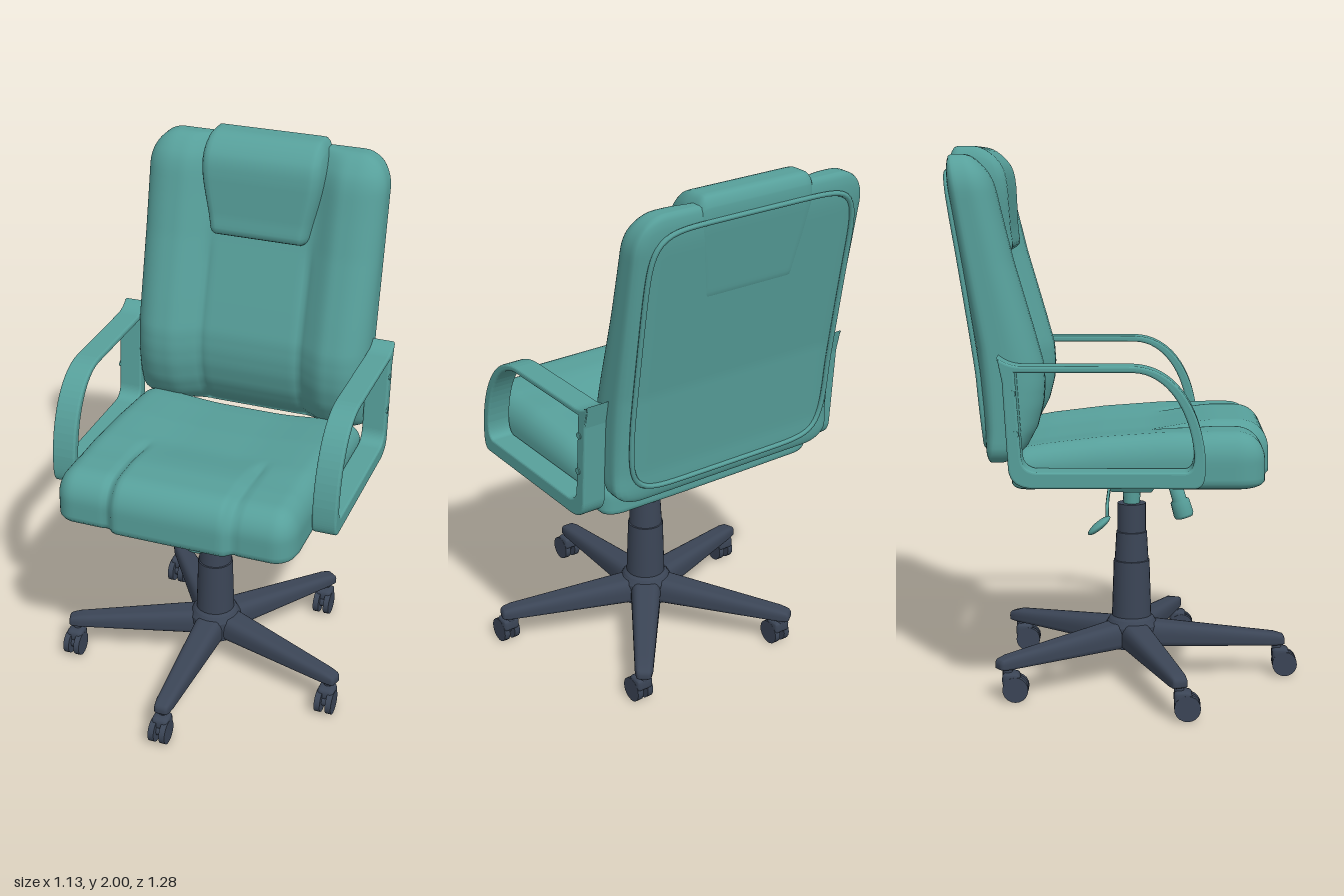
import * as THREE from 'three';
import { mergeVertices } from 'three/addons/utils/BufferGeometryUtils.js';

const { smoothstep, lerp } = THREE.MathUtils;
const upholstery = new THREE.MeshStandardMaterial({ color: 0x57a09b });
upholstery.name = 'tealUpholstery';
const plastic = new THREE.MeshStandardMaterial({ color: 0x3b4556 });
plastic.name = 'darkPlastic';

// Piecewise-linear lookup through [t, value] pairs
function curve(pairs) {
  return (t) => {
    if (t <= pairs[0][0]) return pairs[0][1];
    for (let i = 1; i < pairs.length; i++) {
      const [a, va] = pairs[i - 1], [b, vb] = pairs[i];
      if (t <= b) return lerp(va, vb, (t - a) / (b - a));
    }
    return pairs[pairs.length - 1][1];
  };
}

// Box with its own rounding radius on every side, then bent by a rule
function softBox(lo, hi, rLo, rHi, segs, warp) {
  const geo = new THREE.BoxGeometry(1, 1, 1, ...segs);
  geo.deleteAttribute('uv');
  geo.deleteAttribute('normal');
  const pos = geo.attributes.position;
  const v = new THREE.Vector3();
  for (let i = 0; i < pos.count; i++) {
    v.fromBufferAttribute(pos, i);
    const inner = [], dir = [], rad = [];
    v.toArray().forEach((c, k) => {
      const p = lerp(lo[k], hi[k], c + 0.5);
      inner[k] = Math.min(Math.max(p, lo[k] + rLo[k]), hi[k] - rHi[k]);
      rad[k] = p < inner[k] ? rLo[k] : rHi[k];
      dir[k] = (p - inner[k]) / rad[k];
    });
    const len = Math.hypot(...dir) || 1;
    v.fromArray(inner.map((c, k) => c + (dir[k] / len) * rad[k]));
    if (warp) warp(v);
    pos.setXYZ(i, v.x, v.y, v.z);
  }
  const out = mergeVertices(geo, 1e-5);
  out.computeVertexNormals();
  return out;
}

function add(parent, name, geo, mat, x = 0, y = 0, z = 0) {
  const mesh = new THREE.Mesh(geo, mat);
  mesh.name = name;
  mesh.position.set(x, y, z);
  parent.add(mesh);
  return mesh;
}

const dent = (d, w) => Math.exp(-(d * d) / (w * w));

// Side profiles of the seat and backrest
const seatTop = curve([[-0.41, 0.94], [-0.3, 0.96], [-0.1, 0.985], [0.1, 1.0], [0.3, 1.02], [0.5, 1.02]]);
const backRear = curve([[0.89, -0.5], [1.0, -0.502], [1.3, -0.53], [1.6, -0.58], [1.97, -0.642]]);
const backFront = curve([[0.89, -0.4], [0.95, -0.355], [1.02, -0.318], [1.1, -0.297], [1.17, -0.292], [1.24, -0.297],
  [1.36, -0.33], [1.6, -0.4], [1.75, -0.437], [1.9, -0.472], [1.97, -0.5]]);
const headFront = curve([[1.61, -0.41], [1.7, -0.422], [1.85, -0.43], [1.93, -0.44], [2, -0.46]]);

function buildSeat(g) {
  const geo = softBox([-0.46, 0.8, -0.41], [0.46, 1, 0.485], [0.08, 0.03, 0.05], [0.08, 0.1, 0.1], [60, 14, 50], (v) => {
    const ax = Math.abs(v.x), t = (v.y - 0.8) / 0.2, z = v.z;
    const panel = 1 - smoothstep(ax, 0.215, 0.25);
    const groove = dent(ax - 0.23, 0.016) * smoothstep(z, 0.08, 0.2);
    v.y = 0.8 + t * (seatTop(z) - 0.8);
    v.y -= t * (0.02 * (1 - smoothstep(ax, 0.1, 0.4)) * (1 - smoothstep(z, 0.05, 0.3)) + 0.018 * groove);
    v.y -= t * 0.015 * (1 - panel) * smoothstep(z, 0.1, 0.3);
    v.z += smoothstep(z, 0.2, 0.45) * (0.024 * panel - 0.014 * groove);
  });
  add(g, 'seatCushion', geo, upholstery);
}

function buildBackrest(g) {
  const geo = softBox([-0.47, 0.89, 0], [0.47, 1.97, 1], [0.11, 0.06, 0.2], [0.11, 0.13, 0.5], [60, 50, 14], (v) => {
    const ax = Math.abs(v.x), s = v.z;
    const recess = 0.055 * (1 - smoothstep(ax, 0.19, 0.32));
    const seam = 0.01 * dent(ax - 0.2037, 0.014) * (1 - smoothstep(v.y, 1.5, 1.65));
    v.z = lerp(backRear(v.y), backFront(v.y), s) - (recess + seam) * smoothstep(s, 0.3, 1);
  });
  add(g, 'backrestCushion', geo, upholstery);

  // Headrest pad wrapped over the top edge
  const head = softBox([-1, 1.61, 0], [1, 2, 1], [0.16, 0.04, 0.2], [0.16, 0.12, 0.5], [30, 26, 14], (v) => {
    const s = v.z;
    v.x *= lerp(0.195, 0.243, smoothstep(v.y, 1.58, 1.9));
    v.z = lerp(backRear(v.y) - 0.002, headFront(v.y), s);
  });
  add(g, 'headrest', head, upholstery);

  // Piping around the rear panel
  const pts = [];
  const bend = (c) => Math.sign(c) * Math.abs(c) ** 0.25;
  for (let i = 0; i < 96; i++) {
    const a = ((i + 0.5) / 96) * Math.PI * 2;
    const y = 1.425 + 0.49 * bend(Math.sin(a));
    pts.push(new THREE.Vector3(0.425 * bend(Math.cos(a)), y, backRear(y)));
  }
  const path = new THREE.CatmullRomCurve3(pts, true);
  add(g, 'rearPiping', new THREE.TubeGeometry(path, 160, 0.01, 6, true), upholstery);
}

// Flat closed armrest loop, drawn in side profile
function buildArmrests(g) {
  const shape = new THREE.Shape();
  shape.moveTo(-0.445, 1.285);
  shape.quadraticCurveTo(-0.41, 1.255, -0.36, 1.255);
  shape.lineTo(0.02, 1.255);
  shape.bezierCurveTo(0.16, 1.25, 0.25, 1.12, 0.268, 0.95);
  shape.bezierCurveTo(0.272, 0.87, 0.27, 0.83, 0.23, 0.83);
  shape.lineTo(-0.33, 0.83);
  shape.quadraticCurveTo(-0.405, 0.835, -0.41, 0.9);
  shape.lineTo(-0.428, 1.2);
  const hole = new THREE.Path();
  hole.moveTo(-0.385, 1.232);
  hole.lineTo(-0.365, 0.94);
  hole.quadraticCurveTo(-0.36, 0.89, -0.31, 0.888);
  hole.lineTo(0.2, 0.888);
  hole.quadraticCurveTo(0.232, 0.89, 0.23, 0.95);
  hole.bezierCurveTo(0.215, 1.11, 0.13, 1.23, 0.02, 1.232);
  shape.holes.push(hole);
  const b = 0.008;
  const geo = new THREE.ExtrudeGeometry(shape, {
    depth: 0.092 - 2 * b, bevelThickness: b, bevelSize: b, bevelOffset: -b, bevelSegments: 3, curveSegments: 16,
  });
  geo.translate(0, 0, b).rotateY(-Math.PI / 2);
  const screw = new THREE.CylinderGeometry(0.012, 0.012, 0.008, 12).rotateZ(Math.PI / 2);
  for (const [side, x, out] of [['left', 0.556, 0.556], ['right', -0.464, -0.556]]) {
    add(g, side + 'Armrest', geo, upholstery, x);
    for (const y of [1.02, 1.16]) add(g, side + 'ArmScrew', screw, upholstery, out, y, -0.382 - (y - 1) * 0.07);
  }
}

function buildMechanism(g) {
  const body = new THREE.CylinderGeometry(0.17, 0.1, 0.065, 4).rotateY(Math.PI / 4).toNonIndexed();
  body.computeVertexNormals();
  body.scale(0.75, 1, 1.05);
  add(g, 'tiltHousing', body, upholstery, 0, 0.752, 0.01);
  add(g, 'mountPlate', new THREE.BoxGeometry(0.14, 0.02, 0.4), upholstery, 0, 0.785, -0.02);
  const ear = new THREE.CylinderGeometry(0.03, 0.03, 0.025, 16);
  for (const z of [0.16, -0.21]) {
    add(g, 'mountBar', new THREE.BoxGeometry(0.32, 0.018, 0.04), upholstery, 0, 0.788, z);
    for (const x of [-0.16, 0.16]) add(g, 'mountEar', ear, upholstery, x, 0.787, z);
  }
  add(g, 'gasRod', new THREE.CylinderGeometry(0.035, 0.03, 0.08, 16), upholstery, 0, 0.69, 0.01);

  // Tension knob under the front
  const profile = [[0, 0], [0.034, 0], [0.038, 0.01], [0.036, 0.065], [0.027, 0.07], [0.027, 0.13], [0, 0.13]];
  const knob = add(g, 'tensionKnob', new THREE.LatheGeometry(profile.map((p) => new THREE.Vector2(...p)), 16),
    upholstery, 0, 0.615, 0.21);
  knob.rotation.x = -0.28;

  // Height lever on the right
  const pts = [[0, 0.765], [-0.25, 0.765], [-0.5, 0.765], [-0.515, 0.757], [-0.517, 0.71]];
  const path = new THREE.CatmullRomCurve3(pts.map(([x, y]) => new THREE.Vector3(x, y, -0.07)));
  add(g, 'heightLever', new THREE.TubeGeometry(path, 48, 0.006, 8), upholstery);
  const paddle = new THREE.SphereGeometry(1, 20, 12).scale(0.035, 0.014, 0.05).rotateX(-0.7);
  add(g, 'leverPaddle', paddle, upholstery, -0.518, 0.695, -0.098);
}

function buildBase(g) {
  const steps = [[0.1, 0.12], [0.1, 0.2], [0.085, 0.225], [0.075, 0.235], [0.068, 0.45], [0.064, 0.452],
    [0.058, 0.56], [0.054, 0.562], [0.054, 0.67], [0, 0.67]];
  // Each pair of profile points is its own ring so that the steps stay crisp
  for (let i = 1; i < steps.length; i++) {
    const ring = [steps[i - 1], steps[i]].map((p) => new THREE.Vector2(...p));
    add(g, 'columnSection', new THREE.LatheGeometry(ring, 24), plastic, 0, 0, 0.01);
  }
  add(g, 'hubUnderside', new THREE.CircleGeometry(0.1, 24).rotateX(Math.PI / 2), plastic, 0, 0.12, 0.01);

  const leg = softBox([-1, 0, 0], [1, 1, 0.59], [0.5, 0.15, 0.02], [0.5, 0.5, 0.03], [10, 8, 14], (v) => {
    const t = v.z / 0.59;
    v.x *= lerp(0.062, 0.032, t);
    v.y = lerp(0.118, lerp(0.222, 0.162, t), v.y);
  });
  const wheel = new THREE.CylinderGeometry(0.047, 0.047, 0.023, 20).rotateZ(Math.PI / 2);
  const axle = new THREE.CylinderGeometry(0.022, 0.022, 0.03, 12).rotateZ(Math.PI / 2);
  const hood = softBox([-0.033, 0.06, -0.035], [0.033, 0.108, 0.03], [0.01, 0.01, 0.01], [0.01, 0.02, 0.02], [6, 6, 6]);
  const stem = new THREE.CylinderGeometry(0.018, 0.018, 0.05, 12);
  for (let i = 0; i < 5; i++) {
    const a = (i / 5) * Math.PI * 2;
    add(g, 'baseLeg', leg, plastic, 0, 0, 0.005).rotation.y = a;
    const caster = new THREE.Group();
    caster.name = 'caster';
    caster.position.set(0.555 * Math.sin(a), 0, 0.005 + 0.555 * Math.cos(a));
    add(caster, 'casterStem', stem, plastic, 0, 0.11, 0.005);
    add(caster, 'casterHood', hood, plastic, 0, 0, 0.022);
    add(caster, 'casterAxle', axle, plastic, 0, 0.048, 0.035);
    for (const x of [-0.022, 0.022]) add(caster, 'casterWheel', wheel, plastic, x, 0.047, 0.035);
    g.add(caster);
  }
}

export function createModel() {
  const model = new THREE.Group();
  model.name = 'officeChair';
  const parts = { seat: buildSeat, backrest: buildBackrest, armrests: buildArmrests, mechanism: buildMechanism, base: buildBase };
  for (const [name, build] of Object.entries(parts)) {
    const group = new THREE.Group();
    group.name = name;
    build(group);
    model.add(group);
  }
  return model;
}
